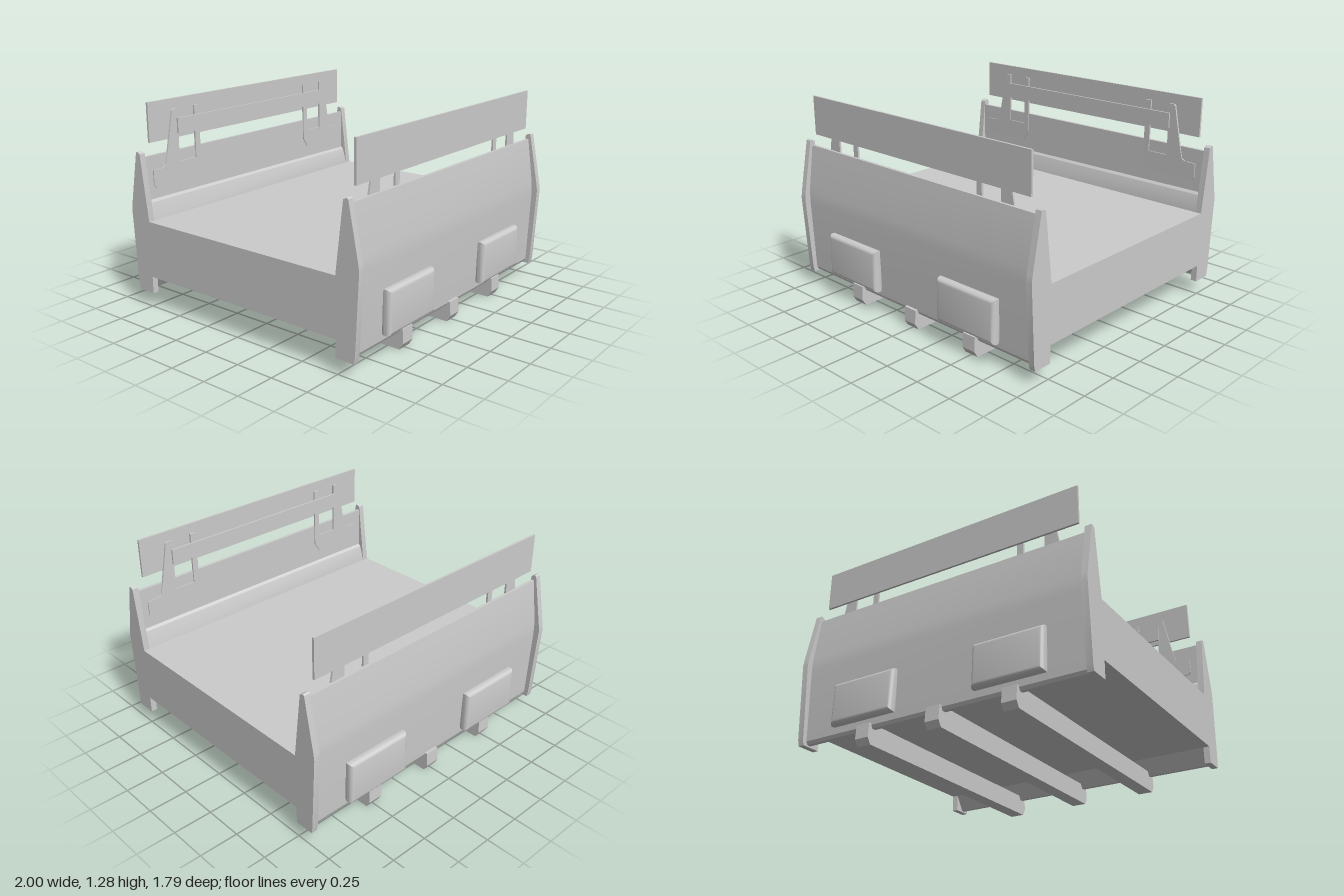
import * as THREE from 'three';
import { toCreasedNormals } from 'three/addons/utils/BufferGeometryUtils.js';

const material = new THREE.MeshStandardMaterial({ color: 0xcccccc });

function add(parent, name, geometry, x = 0, y = 0, z = 0) {
  const mesh = new THREE.Mesh(geometry, material);
  mesh.name = name;
  mesh.position.set(x, y, z);
  parent.add(mesh);
  return mesh;
}

const shapeOf = (points) => new THREE.Shape(points.map(([a, b]) => new THREE.Vector2(a, b)));

// Extrudes a [z, y] profile along x, centred on x = 0.
function alongX(profile, width) {
  const g = new THREE.ExtrudeGeometry(shapeOf(profile), { depth: width, bevelEnabled: false });
  g.translate(0, 0, -width / 2);
  g.rotateY(-Math.PI / 2);
  return toCreasedNormals(g, 0.4);
}

// Raised pad with soft bevelled edges.
function padGeometry(w, h, depth, bevel) {
  const a = w / 2 - bevel, b = h / 2 - bevel;
  const g = new THREE.ExtrudeGeometry(shapeOf([[-a, -b], [a, -b], [a, b], [-a, b]]), {
    depth: 0.01, bevelThickness: depth, bevelSize: bevel, bevelSegments: 4,
  });
  return toCreasedNormals(g, 0.6);
}

function createSide() {
  const side = new THREE.Group();
  side.name = 'sideWall';

  // Long wall with sloped foot inside and leaning upper half outside
  add(side, 'wallPanel', alongX([
    [0.735, 0.2], [0.8, 0.1], [0.825, 0.1], [0.836, 0.12], [0.852, 0.58], [0.85, 0.66],
    [0.807, 0.955], [0.787, 0.955], [0.785, 0.68], [0.77, 0.665], [0.735, 0.56],
  ], 1.93));

  // Plates closing both ends of the wall
  const plate = alongX([
    [0.735, 0.09], [0.858, 0.09], [0.866, 0.13], [0.891, 0.61], [0.886, 0.65],
    [0.82, 0.985], [0.81, 0.992], [0.787, 0.98], [0.735, 0.56],
  ], 0.04);
  for (const s of [-1, 1]) add(side, 'endPlate', plate, s * 0.98);

  // Outer pads
  const pad = padGeometry(0.455, 0.27, 0.03, 0.026);
  for (const s of [-1, 1]) {
    add(side, 'outerPad', pad, s * 0.5, 0.29, 0.854).rotation.x = -0.03;
  }

  // Upper board and the inner strip behind it
  add(side, 'upperBoard', new THREE.BoxGeometry(1.83, 0.25, 0.014), 0, 1.16, 0.798);
  add(side, 'innerStrip', new THREE.BoxGeometry(1.4, 0.1, 0.012), 0, 1.11, 0.774);

  // Two-armed brackets carrying the board
  const bracket = [
    [0.51, 1.22], [0.51, 0.82], [0.55, 0.76], [0.89, 0.75], [0.905, 0.765], [0.905, 0.86],
    [0.825, 0.865], [0.805, 0.88], [0.785, 0.96], [0.735, 1.21], [0.725, 1.22], [0.69, 1.22],
    [0.69, 0.88], [0.55, 0.88], [0.55, 1.22],
  ];
  for (const s of [-1, 1]) {
    const g = new THREE.ExtrudeGeometry(shapeOf(bracket.map(([x, y]) => [s * x, y])),
      { depth: 0.012, bevelEnabled: false });
    add(side, 'boardBracket', g, 0, 0, 0.779);
  }
  return side;
}

export function createModel() {
  const model = new THREE.Group();
  model.name = 'cargoBed';

  // Deck slab
  add(model, 'deck', new THREE.BoxGeometry(2, 0.36, 1.47), 0, 0.38, 0);

  // Cross beams underneath
  const beam = alongX([
    [-0.835, 0], [0.835, 0], [0.86, 0.04], [0.855, 0.13], [-0.855, 0.13], [-0.86, 0.04],
  ], 0.095);
  for (const x of [-0.5, 0, 0.5]) add(model, 'crossBeam', beam, x);

  // Matching walls front and back
  const front = createSide();
  const back = createSide();
  back.rotation.y = Math.PI;
  model.add(front, back);
  return model;
}
